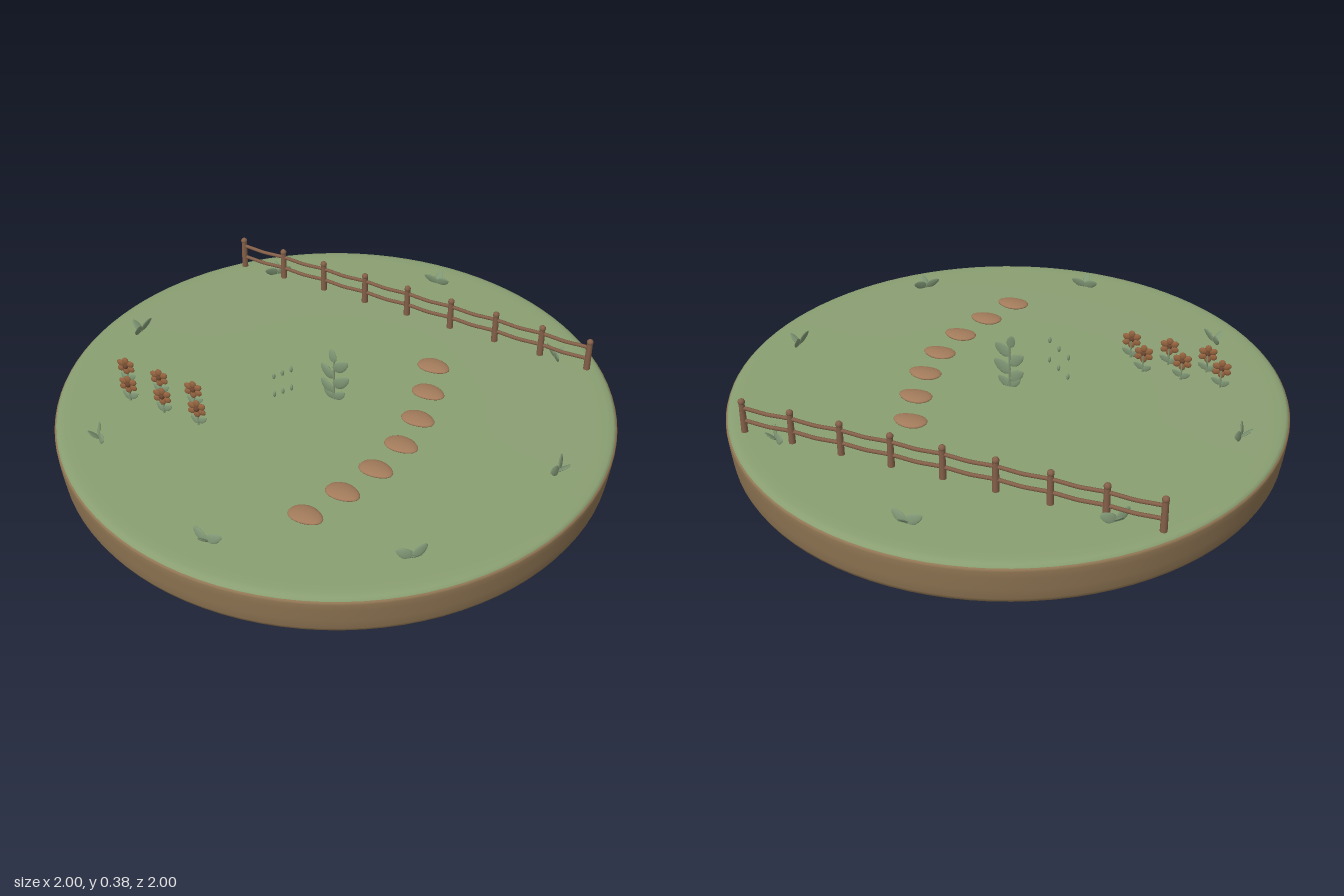
import * as THREE from 'three';

const mat = (name, color) => {
  const m = new THREE.MeshStandardMaterial({ color });
  m.name = name;
  return m;
};

export function createModel() {
  const root = new THREE.Group();
  root.name = 'gardenIsland';
  const grass = mat('grass green', 0x8a9f72);
  const soil = mat('soil brown', 0x8f7553);
  const leafGreen = mat('leaf green', 0x7f9674);
  const wood = mat('fence wood', 0x835f48);
  const stone = mat('path clay', 0xa17a5a);
  const petal = mat('petal brown', 0x94633f);
  const core = mat('flower centre', 0x6b4630);
  const TOP = 0.168;

  const add = (parent, name, geo, material, x = 0, y = 0, z = 0) => {
    const m = new THREE.Mesh(geo, material);
    m.name = name;
    m.position.set(x, y, z);
    parent.add(m);
    return m;
  };
  const group = (parent, name, x = 0, y = 0, z = 0) => {
    const g = new THREE.Group();
    g.name = name;
    g.position.set(x, y, z);
    parent.add(g);
    return g;
  };
  const lathe = pts => new THREE.LatheGeometry(pts.map(p => new THREE.Vector2(...p)), 96);

  // Round soil slab with soft edges, and the turf layer on it
  add(root, 'soilBase', lathe([[0, 0], [0.945, 0], [0.945, 0], [0.965, 0.004], [0.98, 0.015], [0.988, 0.032],
    [0.993, 0.07], [0.998, 0.12], [1, 0.145], [0.997, 0.153], [0.985, 0.157]]), soil);
  add(root, 'turf', lathe([[0.994, 0.15], [0.993, 0.157], [0.984, 0.163], [0.965, 0.167], [0.93, TOP],
    [0.5, TOP], [0, TOP]]), grass);

  // Leaf pointing along +y from its base, with a tapered tip and slight backward curl
  const leafGeo = new THREE.SphereGeometry(0.5, 14, 12);
  const p = leafGeo.attributes.position;
  for (let i = 0; i < p.count; i++) {
    const t = p.getY(i) + 0.5;
    p.setXYZ(i, p.getX(i) * 0.62 * (1.15 - 0.4 * t), t, p.getZ(i) * 0.14 - 0.12 * t * t);
  }
  leafGeo.computeVertexNormals();
  const leaf = (parent, x, y, z, size, roll, pitch = 0, yaw = 0) => {
    const m = add(parent, 'leaf', leafGeo, leafGreen, x, y, z);
    m.scale.setScalar(size);
    m.rotation.set(pitch, yaw, roll, 'YXZ');
    return m;
  };
  const stem = (parent, h, r) =>
    add(parent, 'stem', new THREE.CylinderGeometry(r * 0.7, r, h, 8), leafGreen, 0, h / 2, 0);

  // Tall plant in the middle with alternate leaves
  const plant = group(root, 'centrePlant', 0, TOP - 0.004, 0.015);
  stem(plant, 0.175, 0.005);
  for (const [y, side, size] of [[0.006, 1, 0.055], [0.006, -1, 0.055], [0.03, -1, 0.07],
    [0.06, 1, 0.075], [0.095, -1, 0.07], [0.13, 1, 0.07]])
    leaf(plant, 0, y, 0, size, -side * 0.85, 0.1);
  leaf(plant, 0, 0.165, 0, 0.052, 0.25);

  // Small sprouts round the edge: two spreading leaves and one leaning out
  for (let i = 0; i < 8; i++) {
    const a = i * Math.PI / 4;
    const s = group(root, 'sprout', Math.sin(a) * 0.85, TOP - 0.004, Math.cos(a) * 0.85);
    s.rotation.y = a;
    stem(s, 0.015, 0.004);
    for (const side of [-1, 1]) leaf(s, 0, 0.008, 0, 0.06, -side * 1.05, -0.15);
    leaf(s, 0, 0.01, 0, 0.05, 0, 0.95);
  }

  // Fence: nine posts and two rails sagging between them
  const fence = group(root, 'fence', -0.01, 0, -0.592);
  const postGeo = new THREE.CylinderGeometry(0.0105, 0.0125, 0.13, 10);
  const capGeo = new THREE.SphereGeometry(0.0125, 10, 8);
  for (let i = 0; i < 9; i++) {
    const x = (i - 4) * 0.185;
    add(fence, 'post', postGeo, wood, x, 0.222, 0);
    add(fence, 'postCap', capGeo, wood, x, 0.286, 0);
  }
  for (const y of [0.213, 0.263]) {
    const pts = [];
    for (let i = 0; i <= 32; i++)
      pts.push(new THREE.Vector3(-0.74 + i * 0.04625, y - 0.005 * Math.sin(i * Math.PI / 4) ** 2, 0));
    add(fence, 'rail', new THREE.TubeGeometry(new THREE.CatmullRomCurve3(pts), 96, 0.007, 8), wood);
  }

  // Curving path of flat, uneven stones
  const stoneGeo = new THREE.SphereGeometry(1, 24, 12);
  const sp = stoneGeo.attributes.position;
  for (let i = 0; i < sp.count; i++) {
    const x = sp.getX(i), z = sp.getZ(i);
    sp.setXYZ(i, x, sp.getY(i), z * (1 - 0.12 * x) + 0.1 * x * x);
  }
  stoneGeo.computeVertexNormals();
  const path = group(root, 'stonePath');
  [[0.232, -0.33], [0.283, -0.178], [0.318, -0.022], [0.33, 0.133], [0.313, 0.288], [0.27, 0.443], [0.218, 0.597]]
    .forEach(([x, z]) => add(path, 'stone', stoneGeo, stone, x, 0.172, z).scale.set(0.062, 0.012, 0.042));

  // Two staggered rows of flowers facing the front
  const ballGeo = new THREE.SphereGeometry(1, 12, 10);
  const bed = group(root, 'flowerBed');
  for (let row = 0; row < 2; row++) for (let i = 0; i < 3; i++) {
    const f = group(bed, 'flower', -0.705 + row * 0.072 + i * 0.145, TOP - 0.004, 0.288 + row * 0.085);
    stem(f, 0.075, 0.004);
    leaf(f, 0, 0.012, 0, 0.04, 0.95);
    leaf(f, 0, 0.018, 0, 0.04, -0.95);
    const head = group(f, 'flowerHead', 0, 0.078, 0.004);
    head.rotation.y = 0.15;
    for (let k = 0; k < 6; k++) {
      const a = k * Math.PI / 3 + Math.PI / 6;
      const m = add(head, 'petal', ballGeo, petal, Math.cos(a) * 0.022, Math.sin(a) * 0.022, 0);
      m.scale.set(0.015, 0.0125, 0.006);
      m.rotation.z = a;
    }
    add(head, 'flowerCentre', ballGeo, core, 0, 0, 0.002).scale.set(0.011, 0.011, 0.009);
  }

  // Floating seeds in two slanting rows
  const seeds = group(root, 'seeds');
  for (let row = 0; row < 2; row++) for (let i = 0; i < 3; i++)
    add(seeds, 'seed', ballGeo, leafGreen, -0.185 + i * 0.036, 0.19 + row * 0.08 + i * 0.028, 0.12)
      .scale.set(0.006, 0.012, 0.006);

  return root;
}
